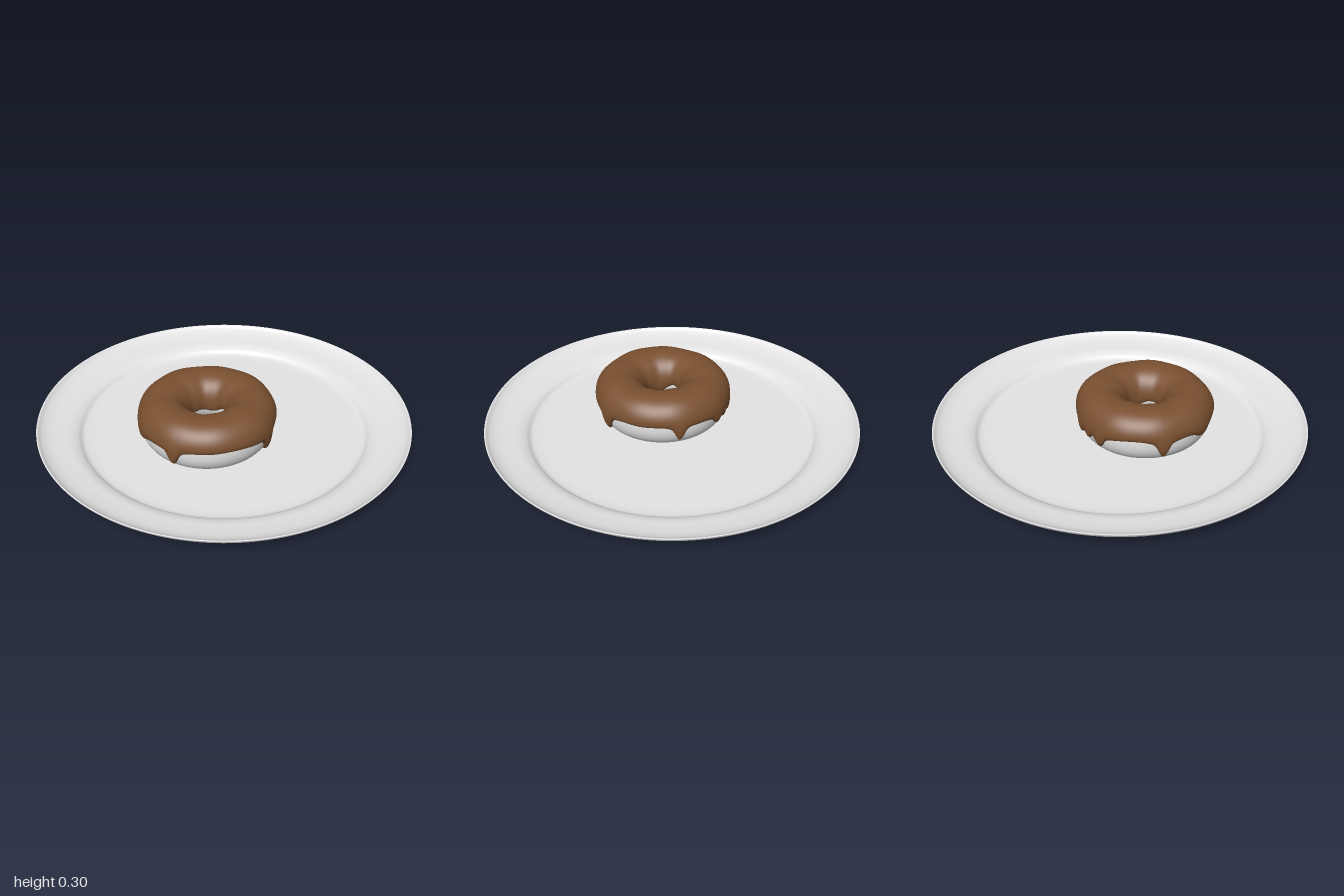
import * as THREE from 'three';

const RING = 0.234, HALF_W = 0.117, HALF_H = 0.128, MID_Y = 0.148, POWER = 0.9;
const signedPow = (v, e) => Math.sign(v) * Math.pow(Math.abs(v), e);

// Point on the slightly squared dough section, pushed out by an offset
function sectionPoint(phi, offset = 0) {
  const c = Math.cos(phi), s = Math.sin(phi);
  return new THREE.Vector2(
    RING + HALF_W * signedPow(c, POWER) + offset * c,
    MID_Y + HALF_H * signedPow(s, POWER) + offset * s
  );
}

// Section angle at which the dough reaches a given height
const phiAt = (y) => Math.asin(signedPow((y - MID_Y) / HALF_H, 1 / POWER));

// Drips: angle in degrees, length, width
const DRIPS = [
  [79, 0.07, 0.085], [10, 0.068, 0.08], [168, 0.07, 0.085], [248, 0.075, 0.085],
  [-30, 0.035, 0.08], [-42, 0.03, 0.06], [-56, 0.05, 0.08], [208, 0.02, 0.15],
];

// Height of the icing's outer lower edge around the ring
function outerEdge(u) {
  let y = 0.161 + 0.006 * Math.sin(3 * u + 0.5) + 0.003 * Math.sin(7 * u);
  for (const [deg, length, width] of DRIPS) {
    const a = u - THREE.MathUtils.degToRad(deg);
    const d = Math.atan2(Math.sin(a), Math.cos(a));
    y -= length * Math.exp(-((d / width) ** 2)) + 0.016 * Math.exp(-((d / 0.22) ** 2));
  }
  return Math.max(y, 0.066);
}

// Height of the icing's edge inside the hole
const innerEdge = (u) => 0.125 + 0.015 * Math.sin(3 * u + 1) + 0.01 * Math.sin(5 * u);

// Icing skin with a rounded lip that tucks into the dough
function icingGeometry() {
  const around = 288, across = 56, positions = [], index = [];
  for (let i = 0; i < around; i++) {
    const u = (i / around) * Math.PI * 2;
    const start = phiAt(outerEdge(u)), end = Math.PI - phiAt(innerEdge(u));
    const wobble = 1 + 0.08 * Math.sin(4 * u + 1) + 0.06 * Math.sin(9 * u);
    for (let j = 0; j <= across; j++) {
      const s = Math.sin((j / across - 0.5) * Math.PI);
      const thick = 0.024 * wobble * Math.sqrt(Math.max(0, 1 - Math.abs(s) ** 14)) - 0.003;
      const p = sectionPoint(start + (end - start) * (s + 1) / 2, thick);
      positions.push(p.x * Math.cos(u), p.y, p.x * Math.sin(u));
      if (j < across) {
        const a = i * (across + 1) + j, b = ((i + 1) % around) * (across + 1) + j;
        index.push(a, a + 1, b, b, a + 1, b + 1);
      }
    }
  }
  const g = new THREE.BufferGeometry();
  g.setAttribute('position', new THREE.Float32BufferAttribute(positions, 3));
  g.setIndex(index);
  g.computeVertexNormals();
  return g;
}

// Plate profile: underside outwards, round the rim, back over the top
function plateGeometry() {
  const curve = new THREE.CatmullRomCurve3([
    [0.64, 0], [0.72, 0.002], [0.765, 0.012], [0.795, 0.033], [0.83, 0.044],
    [0.89, 0.052], [0.95, 0.064], [0.985, 0.081], [1, 0.104],
    [0.994, 0.105], [0.975, 0.091], [0.94, 0.077], [0.88, 0.066], [0.82, 0.058],
    [0.785, 0.045], [0.76, 0.027], [0.725, 0.021], [0.64, 0.02],
  ].map(([x, y]) => new THREE.Vector3(x, y, 0)), false, 'centripetal');
  const profile = curve.getPoints(85).map((p) => new THREE.Vector2(p.x, p.y));
  return new THREE.LatheGeometry(
    [new THREE.Vector2(0, 0), ...profile, new THREE.Vector2(0, 0.02)], 128);
}

function doughGeometry() {
  const points = [];
  for (let i = 0; i <= 48; i++) points.push(sectionPoint((i / 48) * Math.PI * 2 - Math.PI / 2));
  return new THREE.LatheGeometry(points, 96);
}

export function createModel() {
  const porcelain = new THREE.MeshStandardMaterial({ color: 0xe3e3e3 });
  porcelain.name = 'pale grey';
  const chocolate = new THREE.MeshStandardMaterial({ color: 0x7a5030 });
  chocolate.name = 'chocolate brown';

  const model = new THREE.Group();
  model.name = 'doughnutOnPlate';
  const doughnut = new THREE.Group();
  doughnut.name = 'doughnut';
  doughnut.position.set(-0.133, 0, 0.005 - 0.01);

  const add = (parent, name, geometry, material) => {
    const mesh = new THREE.Mesh(geometry, material);
    mesh.name = name;
    parent.add(mesh);
  };
  add(model, 'plate', plateGeometry(), porcelain);
  add(doughnut, 'dough', doughGeometry(), porcelain);
  add(doughnut, 'icing', icingGeometry(), chocolate);
  model.add(doughnut);
  return model;
}
